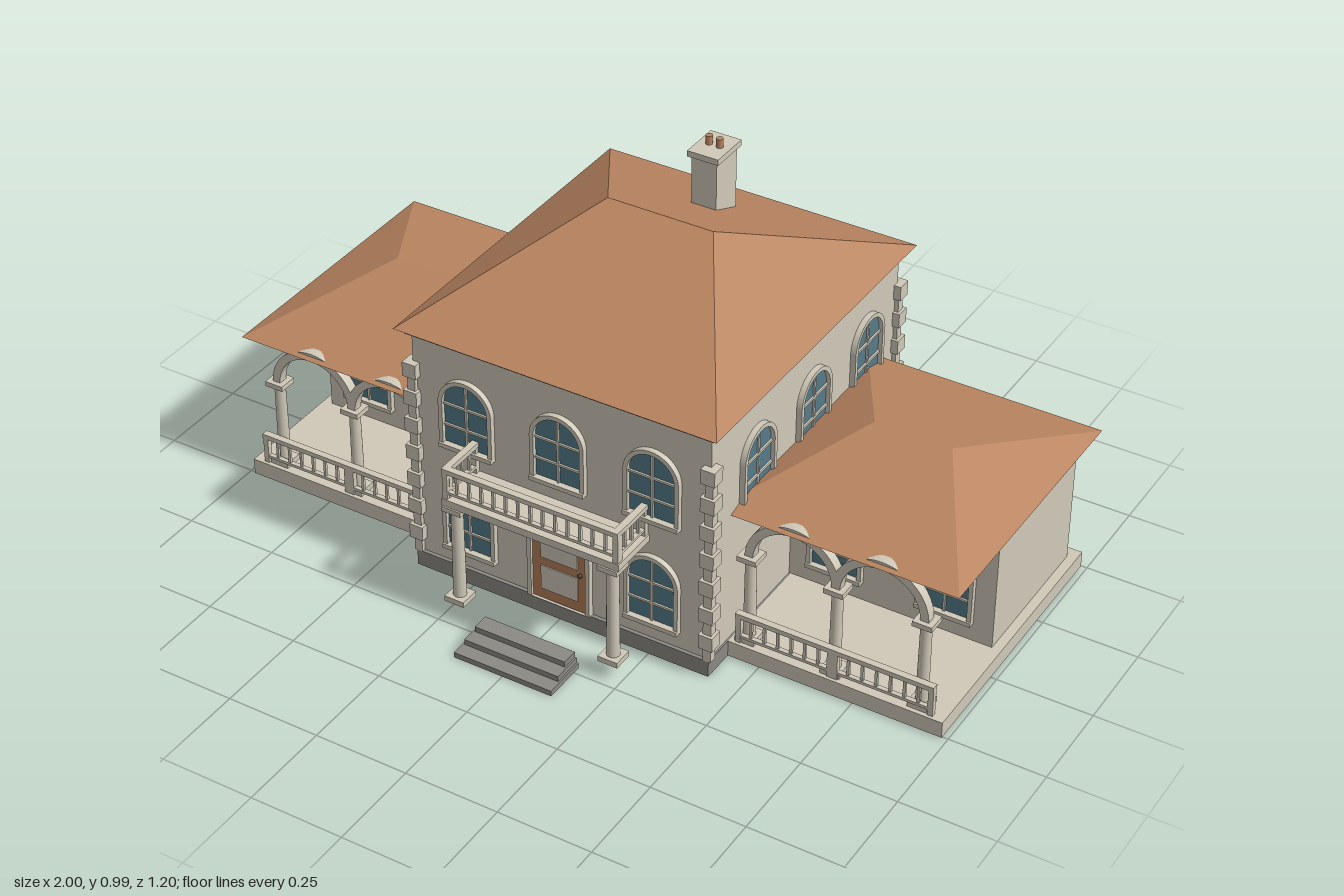
import * as THREE from 'three';

const mat = (name, color) => Object.assign(new THREE.MeshStandardMaterial({ color }), { name });

export function createModel() {
  const wall = mat('plaster', 0xd0c9b9);
  const tile = mat('terracotta', 0xb98460);
  const glass = mat('glass', 0x567b89);
  const stone = mat('grey stone', 0x8b8984);
  const wood = mat('door wood', 0xb47d58);
  const dark = mat('dark metal', 0x4a4038);

  const root = new THREE.Group();
  root.name = 'villa';

  const add = (parent, name, geo, m, x = 0, y = 0, z = 0) => {
    const mesh = new THREE.Mesh(geo, m);
    mesh.name = name;
    mesh.position.set(x, y, z);
    parent.add(mesh);
    return mesh;
  };
  // Box given by its minimum and maximum on each axis
  const box = (parent, name, m, x0, x1, y0, y1, z0, z1) =>
    add(parent, name, new THREE.BoxGeometry(x1 - x0, y1 - y0, z1 - z0), m,
      (x0 + x1) / 2, (y0 + y1) / 2, (z0 + z1) / 2);
  const group = (name, parent = root) => {
    const g = new THREE.Group();
    g.name = name;
    parent.add(g);
    return g;
  };

  // Hipped roof: eave rectangle rising to a ridge along x
  const hipRoof = (parent, name, x0, x1, z0, z1, y0, r0, r1, y1) => {
    const zm = (z0 + z1) / 2;
    const a = [x0, y0, z1], b = [x1, y0, z1], c = [x1, y0, z0], d = [x0, y0, z0];
    const e = [r0, y1, zm], f = [r1, y1, zm];
    const tris = [a, b, f, a, f, e, b, c, f, c, d, e, c, e, f, d, a, e, a, d, c, a, c, b];
    const geo = new THREE.BufferGeometry();
    geo.setAttribute('position', new THREE.Float32BufferAttribute(tris.flat(), 3));
    geo.computeVertexNormals();
    add(parent, name, geo, tile);
  };

  // Round-headed outline standing on y = 0
  const archOutline = (Type, hw, spring) => {
    const s = new Type();
    s.moveTo(-hw, 0);
    s.lineTo(hw, 0);
    s.lineTo(hw, spring);
    s.absarc(0, spring, hw, 0, Math.PI, false);
    s.lineTo(-hw, 0);
    return s;
  };
  const extrude = (shape, depth) =>
    new THREE.ExtrudeGeometry(shape, { depth, bevelEnabled: false, curveSegments: 16 });
  const archFrame = (hw, spring, t, depth) => {
    const s = archOutline(THREE.Shape, hw + t, spring);
    s.holes.push(archOutline(THREE.Path, hw - 0.0005, spring));
    return extrude(s, depth);
  };

  const glassGeo = extrude(archOutline(THREE.Shape, 0.064, 0.12), 0.004);
  const frameGeo = archFrame(0.064, 0.12, 0.011, 0.015);
  const window_ = (x, y, z, turn = 0) => {
    const g = group('window');
    g.position.set(x, y, z);
    g.rotation.y = turn;
    add(g, 'pane', glassGeo, glass);
    add(g, 'windowFrame', frameGeo, wall);
    box(g, 'mullion', wall, -0.003, 0.003, 0, 0.183, 0.002, 0.009);
    for (const h of [0.055, 0.115]) box(g, 'glazingBar', wall, -0.064, 0.064, h - 0.003, h + 0.003, 0.002, 0.009);
    box(g, 'sill', wall, -0.075, 0.075, -0.009, 0.003, 0, 0.02);
  };

  const column = (parent, x, y0, y1, z, r) => {
    const g = group('column', parent);
    add(g, 'shaft', new THREE.CylinderGeometry(r * 0.88, r, y1 - y0, 20), wall, x, (y0 + y1) / 2, z);
    const w = r * 1.6;
    box(g, 'columnBase', wall, x - w, x + w, y0, y0 + 0.015, z - w, z + w);
    box(g, 'capital', wall, x - w, x + w, y1 - 0.014, y1, z - w, z + w);
  };

  // Railing running along x from x0 to x1
  const railing = (parent, x0, x1, y0, y1, z) => {
    const g = group('railing', parent);
    box(g, 'topRail', wall, x0, x1, y1 - 0.013, y1, z - 0.009, z + 0.009);
    box(g, 'bottomRail', wall, x0, x1, y0, y0 + 0.008, z - 0.006, z + 0.006);
    const n = Math.max(2, Math.round((x1 - x0) / 0.036));
    for (let i = 0; i <= n; i++) {
      const h = i === 0 || i === n ? 0.007 : 0.0035;
      const x = x0 + h + (x1 - x0 - 2 * h) * i / n;
      box(g, 'baluster', wall, x - h, x + h, y0 - (h > 0.005 ? 0.014 : 0), y1 - 0.006, z - h, z + h);
    }
    return g;
  };

  // Main block
  const main = group('mainBlock');
  box(main, 'plinth', stone, -0.415, 0.415, 0, 0.045, -0.572, 0.347);
  box(main, 'mainWalls', wall, -0.41, 0.41, 0.045, 0.7, -0.563, 0.337);
  box(main, 'cornice', wall, -0.422, 0.422, 0.685, 0.702, -0.575, 0.35);
  hipRoof(main, 'mainRoof', -0.44, 0.44, -0.597, 0.37, 0.703, -0.145, 0.145, 0.905);

  // Alternating corner stones
  for (const sx of [-1, 1]) for (const z of [0.337, -0.563]) {
    for (let i = 0; i < 14; i++) {
      const h = i % 2 ? 0.019 : 0.011, y = 0.045 + i * 0.04;
      box(main, 'cornerStone', wall, sx * 0.41 - h, sx * 0.41 + h, y, y + 0.04, z - h, z + h);
    }
  }

  // Windows of the main block
  for (const x of [-0.257, 0, 0.257]) {
    window_(x, 0.405, 0.337);
    if (x) window_(x, 0.1, 0.337);
    for (const y of [0.1, 0.405]) window_(x, y, -0.563, Math.PI);
  }
  for (const z of [0.132, -0.135, -0.402]) {
    window_(0.41, 0.405, z, Math.PI / 2);
    window_(-0.41, 0.405, z, -Math.PI / 2);
  }

  // Front door
  const door = group('frontDoor');
  door.position.set(0, 0.045, 0.337);
  add(door, 'doorLeaf', extrude(archOutline(THREE.Shape, 0.077, 0.16), 0.008), wood);
  add(door, 'doorSurround', archFrame(0.077, 0.16, 0.011, 0.016), wall);
  box(door, 'upperPanel', wall, -0.052, 0.052, 0.125, 0.195, 0.006, 0.011);
  box(door, 'lowerPanel', wall, -0.052, 0.052, 0.03, 0.1, 0.006, 0.011);
  add(door, 'doorKnob', new THREE.SphereGeometry(0.006, 10, 8), dark, 0.06, 0.112, 0.012);

  // Entrance steps
  const steps = group('steps');
  [[0.137, 0.6], [0.132, 0.562], [0.127, 0.524]].forEach(([w, z], i) =>
    box(steps, 'step', stone, -w, w, i * 0.015, (i + 1) * 0.015, 0.479, z));

  // Balcony on two columns
  const balcony = group('balcony');
  box(balcony, 'balconyFloor', wall, -0.246, 0.246, 0.33, 0.35, 0.337, 0.475);
  railing(balcony, -0.243, 0.243, 0.364, 0.437, 0.465);
  for (const s of [-1, 1]) {
    const side = railing(balcony, -0.063, 0.063, 0.364, 0.437, 0);
    side.rotation.y = Math.PI / 2;
    side.position.set(s * 0.235, 0, 0.4);
    column(balcony, s * 0.217, 0.045, 0.33, 0.452, 0.017);
  }

  // Chimney
  const chimney = group('chimney');
  box(chimney, 'chimneyStack', wall, -0.035, 0.035, 0.76, 0.955, -0.413, -0.317);
  box(chimney, 'chimneyCap', wall, -0.043, 0.043, 0.951, 0.967, -0.421, -0.309);
  for (const x of [-0.015, 0.015])
    add(chimney, 'chimneyPot', new THREE.CylinderGeometry(0.009, 0.009, 0.03, 14), tile, x, 0.976, -0.365);

  // Wings with arcaded porches
  const ring = new THREE.Shape();
  ring.absarc(0, 0, 0.126, 0, Math.PI, false);
  ring.absarc(0, 0, 0.104, Math.PI, 0, true);
  const ringGeo = extrude(ring, 0.026);
  for (const s of [-1, 1]) {
    const wing = group(s > 0 ? 'leftWing' : 'rightWing');
    const span = (a, b) => (s > 0 ? [a, b] : [-b, -a]);
    box(wing, 'wingFloor', wall, ...span(0.4, 0.985), 0.001, 0.045, -0.497, 0.255);
    box(wing, 'wingWalls', wall, ...span(0.4, 0.96), 0.045, 0.41, -0.463, -0.05);
    hipRoof(wing, 'wingRoof', ...span(0.365, 1), -0.51, 0.245, 0.41, ...span(0.58, 0.785), 0.51);
    for (const x of [0.452, 0.682, 0.912]) column(wing, s * x, 0.045, 0.297, 0.218, 0.016);
    for (const x of [0.567, 0.797]) add(wing, 'porchArch', ringGeo, wall, s * x, 0.295, 0.205);
    railing(wing, ...span(0.43, 0.69), 0.06, 0.132, 0.241);
    railing(wing, ...span(0.69, 0.955), 0.06, 0.132, 0.241);
    for (const x of [0.537, 0.832]) window_(s * x, 0.105, -0.05);
  }
  return root;
}
